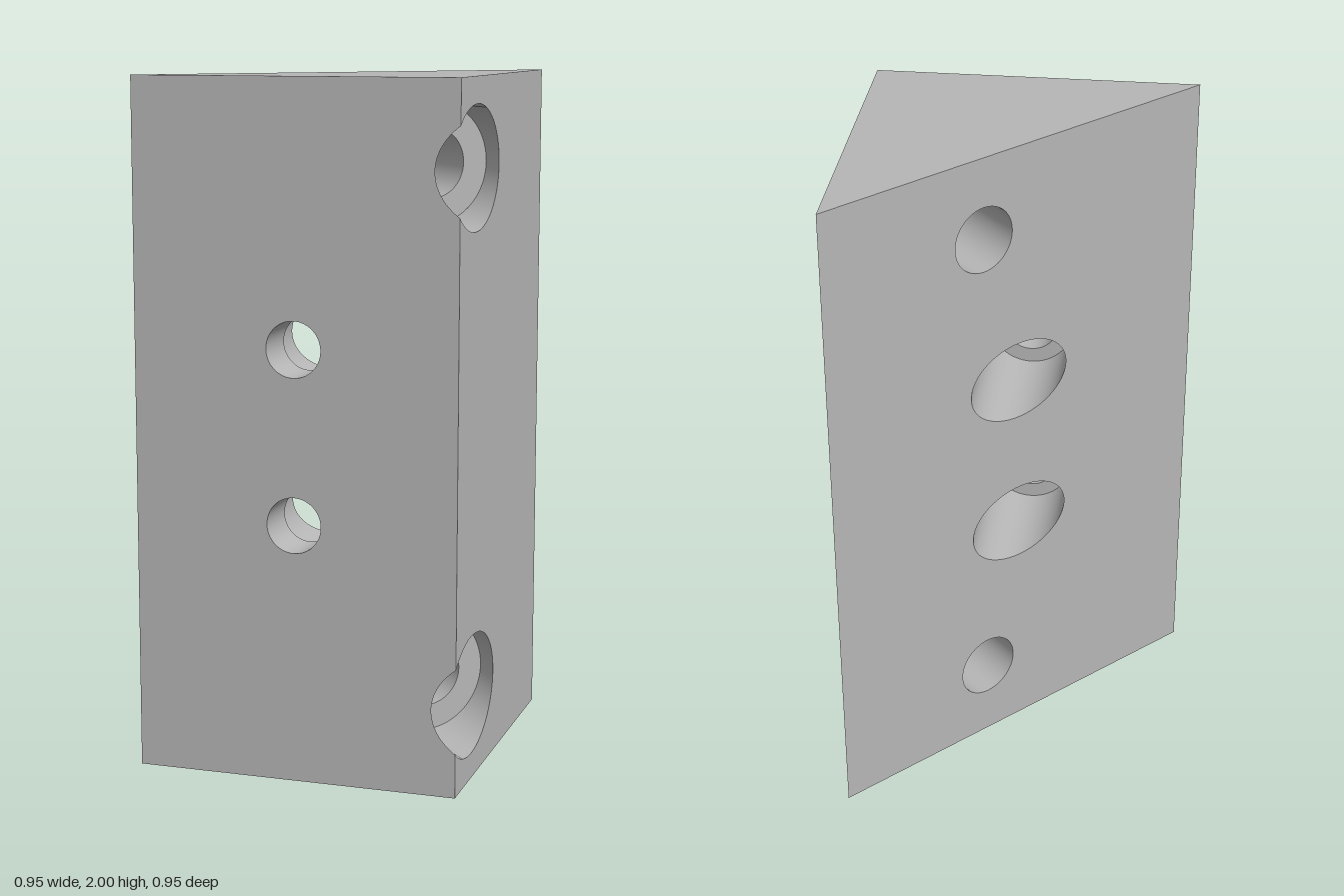
import * as THREE from 'three';

const H = 0.475, TALL = 2, SEG = 96;
const SHIFT = 0.125;              // offset of the diagonal bores along the sloped face
const R_SCREW = 0.1, R_HEAD = 0.175, HEAD_FLOOR = 0.3;
const R_PIN = 0.08, R_PIN_HEAD = 0.125, PIN_FLOOR = 0.325;
const SCREW_Y = [0.25, 1.75], PIN_Y = [0.75, 1.25];
const Q = Math.SQRT1_2;

const range = (a, b, n) => Array.from({ length: n + 1 }, (_, i) => a + (b - a) * i / n);

export function createModel() {
  const group = new THREE.Group();
  group.name = 'cornerBlock';
  const grey = new THREE.MeshStandardMaterial({ color: 0xb6b6b6, side: THREE.DoubleSide });
  grey.name = 'grey';

  const add = (name, geometry, position = [0, 0, 0], rotation = [0, 0, 0]) => {
    const mesh = new THREE.Mesh(geometry, grey);
    mesh.name = name;
    mesh.position.set(...position);
    mesh.rotation.set(...rotation);
    group.add(mesh);
  };
  const polygon = pts => new THREE.Shape(pts.map(p => new THREE.Vector2(...p)));
  const face = shape => new THREE.ShapeGeometry(shape, SEG / 2);
  const hole = (shape, x, y, rx, ry) => {
    const path = new THREE.Path();
    path.absellipse(x, y, rx, ry, 0, Math.PI * 2, true);
    shape.holes.push(path);
  };

  // Bore directions: u across, y up, d along the bore (u x y = d)
  const diagonal = { o: [SHIFT * Q, -SHIFT * Q], u: [Q, -Q], d: [Q, Q] };
  const straight = { o: [0, 0], u: [1, 0], d: [0, 1] };
  const pointAt = (b, y, r, t, s) => {
    const c = r * Math.cos(t);
    return [b.o[0] + b.u[0] * c + b.d[0] * s, y + r * Math.sin(t), b.o[1] + b.u[1] * c + b.d[1] * s];
  };
  // Inward-facing wall whose start and end depth may vary round the bore
  const wall = (b, y, r, angles, start, end) => {
    const pos = [], idx = [], n = angles.length;
    angles.forEach((t, i) => {
      pos.push(...pointAt(b, y, r, t, start(t)), ...pointAt(b, y, r, t, end(t)));
      const a = 2 * i, c = 2 * ((i + 1) % n);
      idx.push(a, a + 1, c, c, a + 1, c + 1);
    });
    const g = new THREE.BufferGeometry();
    g.setAttribute('position', new THREE.Float32BufferAttribute(pos, 3));
    g.setIndex(idx);
    g.computeVertexNormals();
    return g;
  };

  // Head recess breaks out through the side face, then the front face past the kink angle
  const kink = Math.acos(-SHIFT / R_HEAD);
  const sideAngles = range(-kink, kink, 72);
  const frontAngles = range(kink, 2 * Math.PI - kink, 32);
  const headExit = t => {
    const [x, , z] = pointAt(diagonal, 0, R_HEAD, t, 0);
    return (H - Math.max(x, z)) / Q;
  };
  const rim = (angles, y) => angles.map(t => pointAt(diagonal, y, R_HEAD, t, headExit(t)));

  // Front face, notched on its +x edge
  const frontPts = [[-H, 0], [H, 0]];
  SCREW_Y.forEach(y => rim(frontAngles, y).reverse().forEach(p => frontPts.push([p[0], p[1]])));
  frontPts.push([H, TALL], [-H, TALL]);
  const front = polygon(frontPts);
  PIN_Y.forEach(y => hole(front, 0, y, R_PIN, R_PIN));
  add('frontFace', face(front), [0, 0, H]);

  // Side face, notched on its front edge (local x runs along -z)
  const sidePts = [[H, 0], [H, TALL], [-H, TALL]];
  [...SCREW_Y].reverse().forEach(y =>
    rim(sideAngles, y).reverse().forEach(p => sidePts.push([-p[2], p[1]])));
  sidePts.push([-H, 0]);
  add('sideFace', face(polygon(sidePts)), [H, 0, 0], [0, Math.PI / 2, 0]);

  // Sloped back face
  const W = H / Q;
  const back = polygon([[-W, 0], [W, 0], [W, TALL], [-W, TALL]]);
  SCREW_Y.forEach(y => hole(back, -SHIFT, y, R_SCREW, R_SCREW));
  PIN_Y.forEach(y => hole(back, 0, y, R_PIN_HEAD / Q, R_PIN_HEAD));
  add('slopedFace', face(back), [0, 0, 0], [0, -3 * Math.PI / 4, 0]);

  // Triangular ends
  add('topFace', face(polygon([[-H, -H], [H, -H], [H, H]])), [0, TALL, 0], [-Math.PI / 2, 0, 0]);
  add('bottomFace', face(polygon([[-H, H], [H, -H], [H, H]])), [0, 0, 0], [Math.PI / 2, 0, 0]);

  // Diagonal counterbored holes
  const circle = range(0, 2 * Math.PI, SEG).slice(0, -1);
  const headAngles = [...sideAngles, ...frontAngles.slice(1, -1)];
  SCREW_Y.forEach(y => {
    add('screwBore', wall(diagonal, y, R_SCREW, circle, () => 0, () => HEAD_FLOOR));
    add('screwHeadRecess', wall(diagonal, y, R_HEAD, headAngles, () => HEAD_FLOOR, headExit));
    add('screwHeadSeat', new THREE.RingGeometry(R_SCREW, R_HEAD, SEG),
      pointAt(diagonal, y, 0, 0, HEAD_FLOOR), [0, Math.PI / 4, 0]);
  });

  // Straight counterbored holes, recessed from the sloped face
  PIN_Y.forEach(y => {
    add('pinRecess', wall(straight, y, R_PIN_HEAD, circle,
      t => -R_PIN_HEAD * Math.cos(t), () => PIN_FLOOR));
    add('pinBore', wall(straight, y, R_PIN, circle, () => PIN_FLOOR, () => H));
    add('pinSeat', new THREE.RingGeometry(R_PIN, R_PIN_HEAD, SEG), [0, y, PIN_FLOOR], [0, Math.PI, 0]);
  });
  return group;
}
